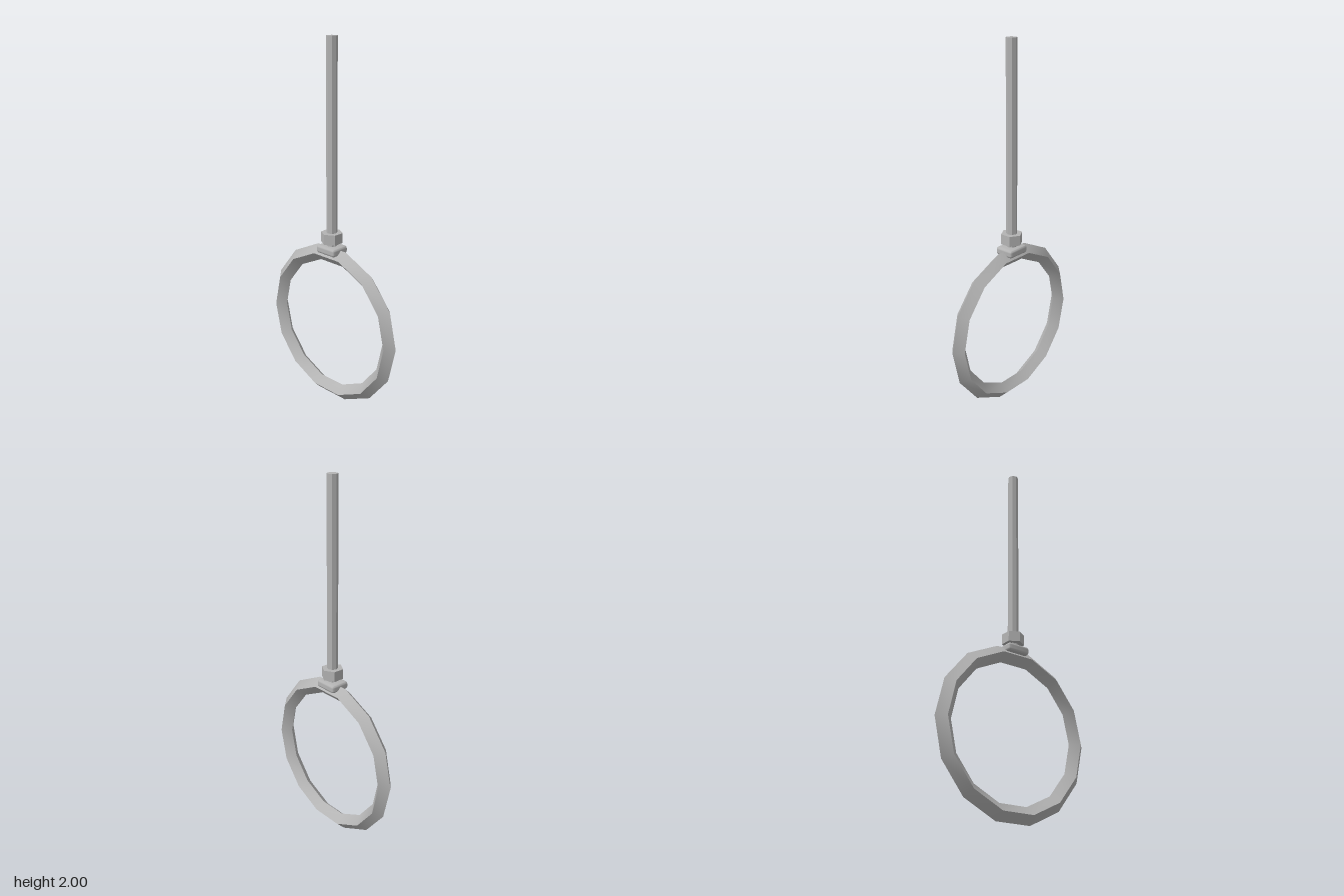
import * as THREE from 'three';
import { toCreasedNormals } from 'three/addons/utils/BufferGeometryUtils.js';
import { RoundedBoxGeometry } from 'three/addons/geometries/RoundedBoxGeometry.js';

export function createModel() {
  const group = new THREE.Group();
  const steel = new THREE.MeshStandardMaterial({ color: 0xb4b4b4 });
  steel.name = 'galvanised steel';

  // Adds a part whose sharp edges stay sharp, centred at height y
  const add = (name, geometry, y) => {
    const mesh = new THREE.Mesh(toCreasedNormals(geometry, 0.6), steel);
    mesh.name = name;
    mesh.position.y = y;
    group.add(mesh);
  };

  // Ring: 14 segments with a diamond cross-section
  add('ring', new THREE.TorusGeometry(0.413, 0.045, 4, 14), 0.45);

  // Small saddle plate over the top of the ring
  add('saddlePlate', new RoundedBoxGeometry(0.132, 0.044, 0.11, 2, 0.014), 0.89);

  // Hex nut with points facing front and back
  add('hexNut', new THREE.CylinderGeometry(0.059, 0.059, 0.056, 6), 0.957);

  // Eight-sided hanger rod
  add('rod', new THREE.CylinderGeometry(0.029, 0.029, 1.11, 8), 1.445);

  return group;
}
